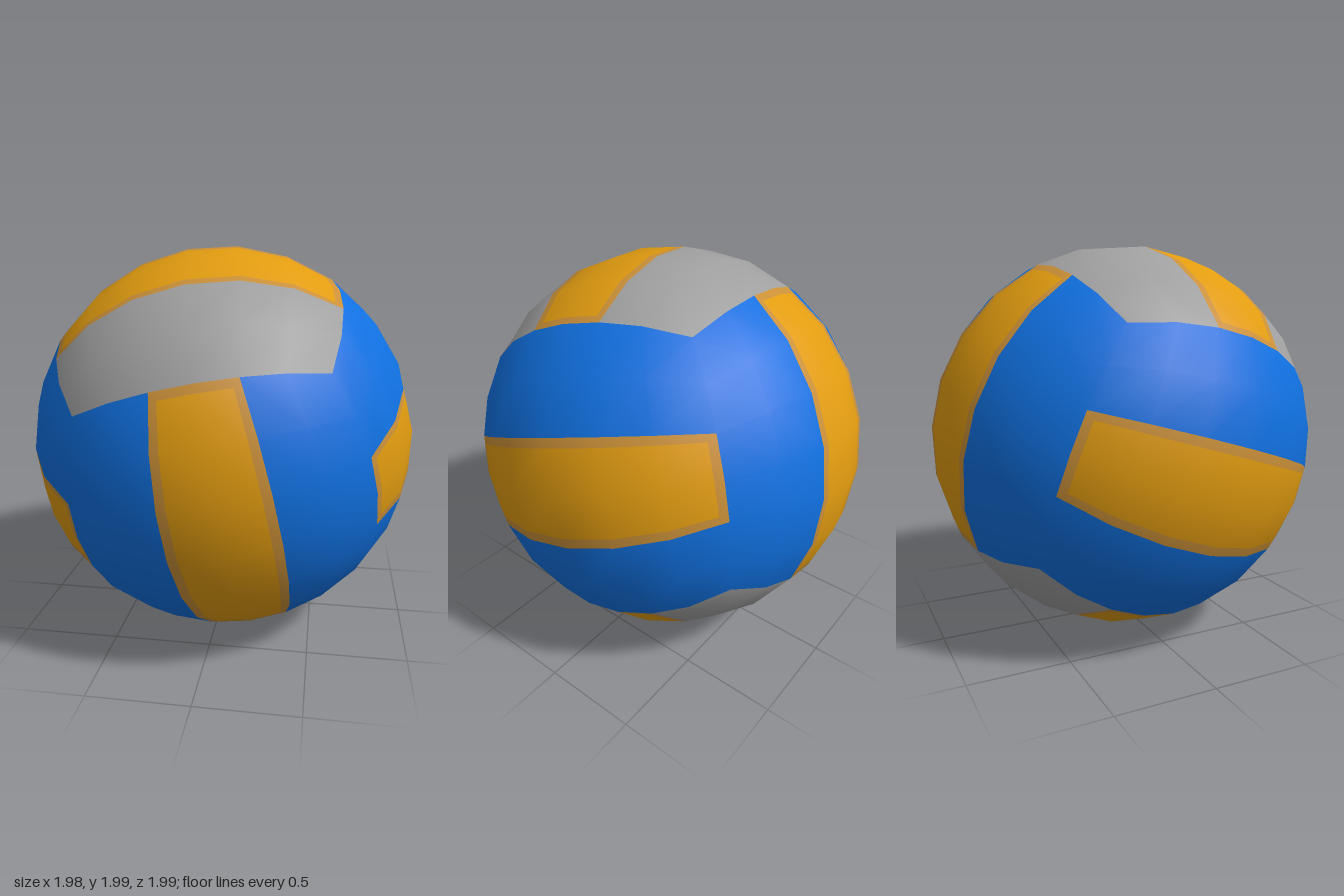
import * as THREE from 'three';
import { mergeGeometries } from 'three/addons/utils/BufferGeometryUtils.js';

const STEP = Math.PI / 12; // each of the six faces is a 6 x 6 grid, 15 degrees per cell

function material(name, color) {
  const m = new THREE.MeshStandardMaterial({ color });
  m.name = name;
  return m;
}

// Point on the unit ball; s runs along the stripe, t across it, both -3..3
function knot(face, s, t) {
  const a = Math.tan(s * STEP), b = Math.tan(t * STEP);
  const bend = (p, q) => p * (1 + (0.07 * q * q - 0.02) * (1 - Math.abs(p)));
  return face.n.clone()
    .addScaledVector(face.d, bend(a, b))
    .addScaledVector(face.c, bend(b, a))
    .normalize();
}

// Between grid knots the surface is flat, which keeps the faceted outline
function surface(face, s, t) {
  const s0 = Math.min(Math.floor(s), 2), t0 = Math.min(Math.floor(t), 2);
  const low = knot(face, s0, t0).lerp(knot(face, s0 + 1, t0), s - s0);
  const high = knot(face, s0, t0 + 1).lerp(knot(face, s0 + 1, t0 + 1), s - s0);
  return low.lerp(high, t - t0);
}

// Grid lines from lo to hi, including every whole number between
function lines(lo, hi) {
  const out = [lo];
  for (let k = Math.floor(lo) + 1; k < hi; k++) out.push(k);
  out.push(hi);
  return out;
}

// Patch of one face with smooth, outward normals
function patch(face, sLo, sHi, tLo, tHi) {
  const ss = lines(sLo, sHi), ts = lines(tLo, tHi);
  const pos = [], nor = [], idx = [];
  for (const t of ts) {
    for (const s of ss) {
      const p = surface(face, s, t);
      pos.push(p.x, p.y + 1, p.z);
      p.normalize();
      nor.push(p.x, p.y, p.z);
    }
  }
  const w = ss.length;
  for (let j = 0; j < ts.length - 1; j++) {
    for (let i = 0; i < w - 1; i++) {
      const k = j * w + i;
      idx.push(k, k + 1, k + w + 1, k, k + w + 1, k + w);
    }
  }
  const g = new THREE.BufferGeometry();
  g.setAttribute('position', new THREE.Float32BufferAttribute(pos, 3));
  g.setAttribute('normal', new THREE.Float32BufferAttribute(nor, 3));
  g.setIndex(idx);
  return g;
}

export function createModel() {
  const blue = material('blue', 0x1070e0);
  const grey = material('grey', 0xa0a0a0);
  const yellow = material('yellow', 0xe29c10);
  const ochre = material('ochre', 0xca9038);

  // Tilted axes of the ball
  const up = new THREE.Vector3(-0.14, 0.94, 0.31).normalize();
  const side = new THREE.Vector3(0.978, 0.18, -0.095);
  side.addScaledVector(up, -side.dot(up)).normalize();
  const front = side.clone().cross(up);

  const model = new THREE.Group();
  model.name = 'ball';

  // Stripes of neighbouring faces run at right angles to each other
  const pairs = [
    ['top', 'bottom', up, side, grey],
    ['left', 'right', side, front, blue],
    ['front', 'back', front, up, blue],
  ];
  const E = 2.84, I = 0.82; // inner limits of the stripe edging
  for (const [nameA, nameB, axis, along, sideColor] of pairs) {
    for (const sign of [1, -1]) {
      const n = axis.clone().multiplyScalar(sign);
      const face = { n, d: along, c: n.clone().cross(along) };
      const group = new THREE.Group();
      group.name = (sign > 0 ? nameA : nameB) + 'Face';
      const add = (name, geometry, mat) => {
        const mesh = new THREE.Mesh(geometry, mat);
        mesh.name = name;
        group.add(mesh);
      };
      // Outer panels
      add('sidePanelA', patch(face, -3, 3, -3, -1), sideColor);
      add('sidePanelB', patch(face, -3, 3, 1, 3), sideColor);
      // Middle stripe and the dull edging round it
      add('stripe', patch(face, -E, E, -I, I), yellow);
      add('stripeEdging', mergeGeometries([
        patch(face, -3, 3, -1, -I),
        patch(face, -3, 3, I, 1),
        patch(face, -3, -E, -I, I),
        patch(face, E, 3, -I, I),
      ]), ochre);
      model.add(group);
    }
  }
  return model;
}
